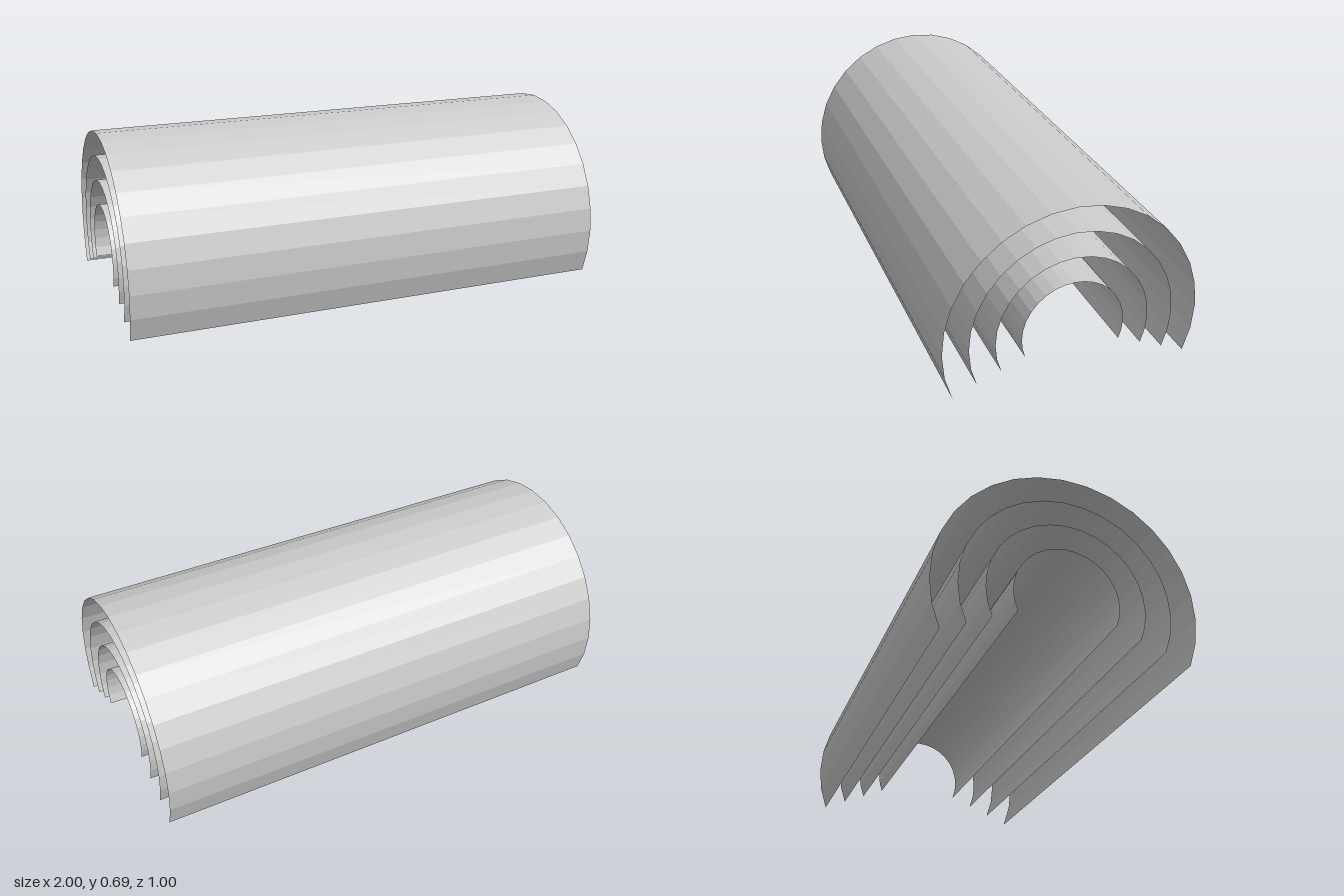
import * as THREE from 'three';

const LENGTH = 2;
const RADII = [0.5, 0.4, 0.3, 0.2];
const OVERHANG = Math.PI / 8; // how far each arch curls in below its centre line
const SEGMENTS = 20;

// One thin open arch running along x
function createShell(radius, material) {
  const geometry = new THREE.CylinderGeometry(
    radius, radius, LENGTH, SEGMENTS, 1, true, -OVERHANG, Math.PI + 2 * OVERHANG);
  geometry.rotateZ(Math.PI / 2);
  return new THREE.Mesh(geometry, material);
}

export function createModel() {
  const group = new THREE.Group();
  group.name = 'nestedArches';
  const material = new THREE.MeshStandardMaterial({
    color: 0xcccccc, flatShading: true, side: THREE.DoubleSide,
  });

  // Concentric arches sharing one axis; the outermost stands on the ground
  const axisHeight = RADII[0] * Math.sin(OVERHANG);
  const names = ['outerArch', 'secondArch', 'thirdArch', 'innerArch'];
  RADII.forEach((radius, i) => {
    const shell = createShell(radius, material);
    shell.name = names[i];
    shell.position.y = axisHeight;
    group.add(shell);
  });
  return group;
}
